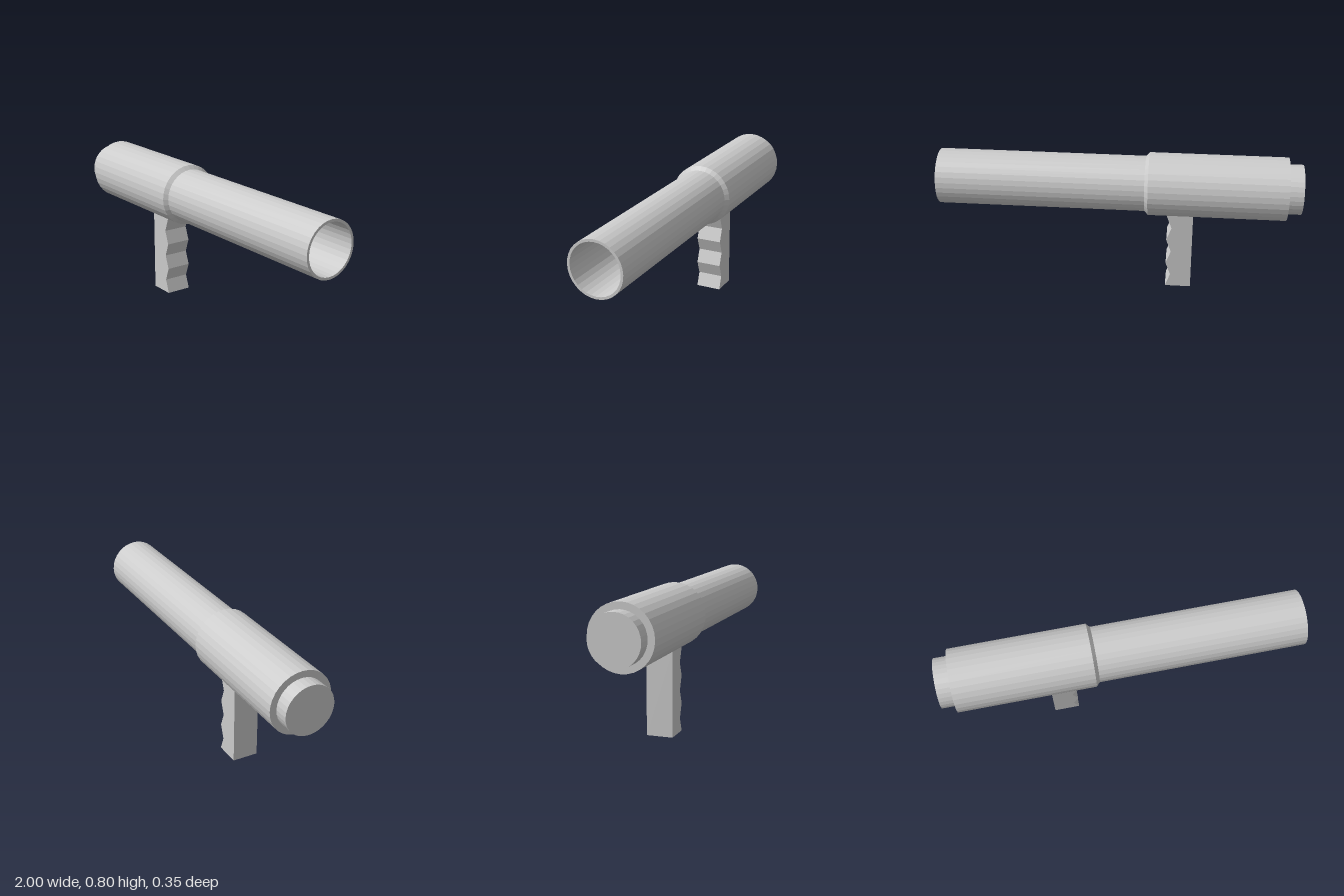
import * as THREE from 'three';

const AXIS_Y = 0.623;
const SIDES = 32;

export function createModel() {
  const model = new THREE.Group();
  const material = new THREE.MeshStandardMaterial({ color: 0xcccccc, flatShading: true });

  const add = (name, geometry) => {
    const mesh = new THREE.Mesh(geometry, material);
    mesh.name = name;
    model.add(mesh);
    return mesh;
  };

  // Turned part lying along x; profile points are [radius, x]
  const turned = (name, profile) => {
    const points = profile.map(([r, x]) => new THREE.Vector2(r, x));
    const geometry = new THREE.LatheGeometry(points, SIDES);
    geometry.rotateZ(-Math.PI / 2);
    add(name, geometry).position.y = AXIS_Y;
  };

  // Rear plug, closed at the back
  turned('rearCap', [[0, -1], [0.137, -1], [0.137, -0.92]]);

  // Thick sleeve with a chamfered front edge
  turned('sleeve', [[0.137, -0.92], [0.174, -0.92], [0.174, -0.165], [0.153, -0.145]]);

  // Hollow barrel: outer wall, rim, bore and bore floor
  turned('barrel', [[0.153, -0.145], [0.153, 1], [0.139, 1], [0.139, -0.9], [0, -0.9]]);

  // Grip with a zigzag front edge for the fingers
  const top = 0.47, steps = 6, pitch = 0.0768;
  const outline = new THREE.Shape();
  outline.moveTo(-0.415, 0);
  for (let i = 0; i <= steps; i++) {
    outline.lineTo(i % 2 ? -0.298 : -0.27, i * pitch);
  }
  outline.lineTo(-0.27, top);
  outline.lineTo(-0.415, top);
  outline.closePath();
  const grip = new THREE.ExtrudeGeometry(outline, { depth: 0.146, bevelEnabled: false });
  grip.translate(0, 0, -0.073);
  add('grip', grip);

  return model;
}
